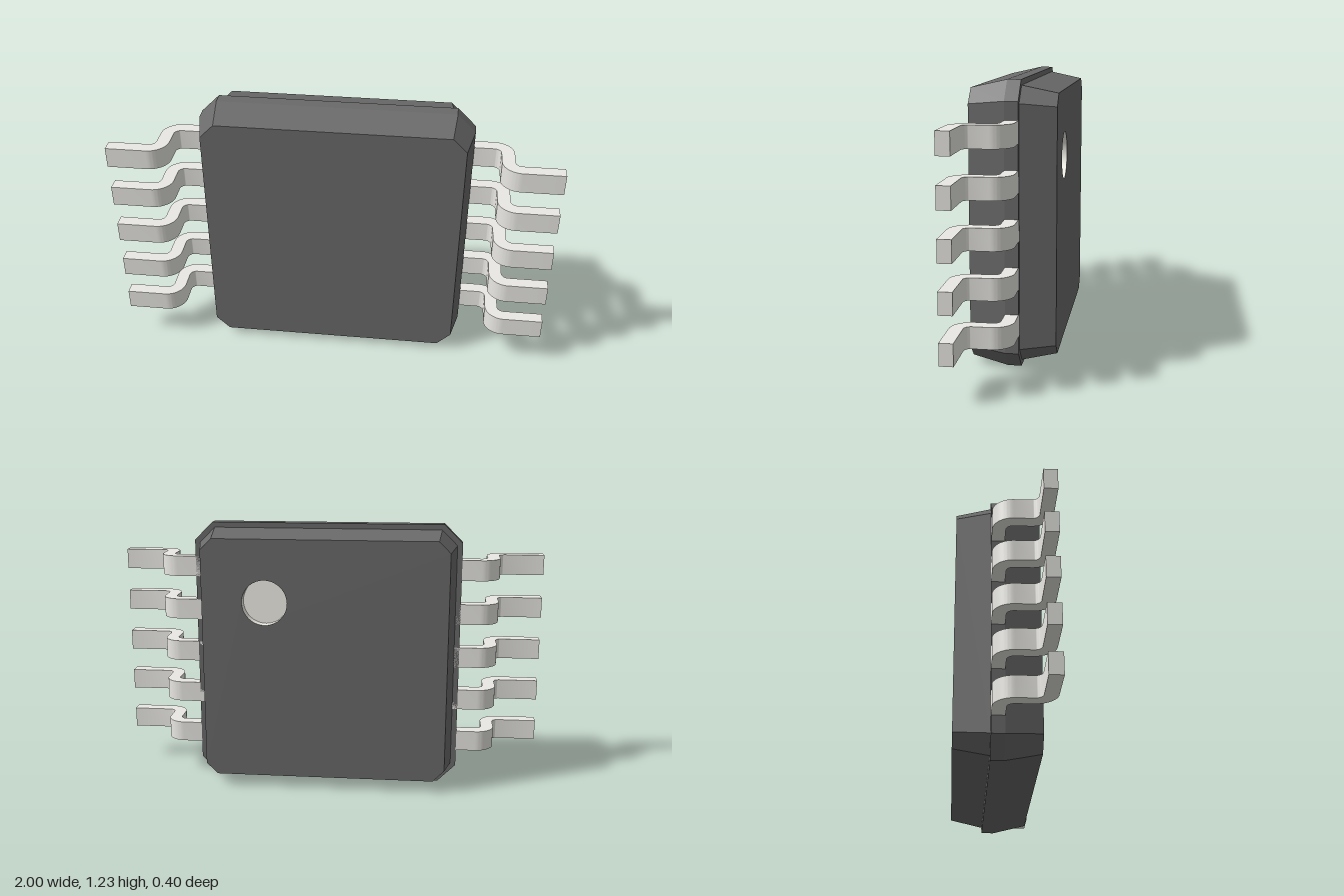
import * as THREE from 'three';
import { toCreasedNormals } from 'three/addons/utils/BufferGeometryUtils.js';

const CY = 0.614; // height of the body's centre
const bodyMat = new THREE.MeshStandardMaterial({ color: 0x6b6a6a });
const pinMat = new THREE.MeshStandardMaterial({ color: 0xeae9e4 });
const markMat = new THREE.MeshStandardMaterial({ color: 0xf3f2e9 });

// Square with chamfered corners, counter-clockwise
function octagon(h, c) {
  const k = h - c;
  return [[h, -k], [h, k], [k, h], [-k, h], [-h, k], [-h, -k], [-k, -h], [k, -h]]
    .map(([x, y]) => new THREE.Vector2(x, y));
}

// Side walls through a stack of octagons, listed back to front as [z, half width, chamfer]
function loftWalls(sections) {
  const pos = [];
  const rings = sections.map(([z, h, c]) => octagon(h, c).map(p => [p.x, p.y, z]));
  for (let i = 0; i < rings.length - 1; i++) {
    for (let j = 0; j < 8; j++) {
      const k = (j + 1) % 8;
      const a = rings[i][j], b = rings[i][k], c = rings[i + 1][k], d = rings[i + 1][j];
      pos.push(...a, ...b, ...c, ...a, ...c, ...d);
    }
  }
  const geo = new THREE.BufferGeometry();
  geo.setAttribute('position', new THREE.Float32BufferAttribute(pos, 3));
  geo.computeVertexNormals();
  return geo;
}

// Gull-wing lead profile, bent from strip; side = 1 or -1, shape y is -z
function leadShape(side) {
  const t = 0.058, ri = 0.03, ro = ri + t;
  const top = 0.05, foot = -0.2, xa = 0.702, xb = xa + 2 * ri + t;
  const s = new THREE.Shape();
  s.moveTo(0.58, top);
  s.lineTo(xa, top);
  s.absarc(xa, top - ro, ro, Math.PI / 2, 0, true);
  s.absarc(xb, foot + ro, ri, Math.PI, Math.PI * 1.5, false);
  s.lineTo(1, foot + t);
  s.lineTo(1, foot);
  s.lineTo(xb, foot);
  s.absarc(xb, foot + ro, ro, Math.PI * 1.5, Math.PI, true);
  s.absarc(xa, top - ro, ri, 0, Math.PI / 2, false);
  s.lineTo(0.58, top - t);
  return new THREE.Shape(s.getPoints(10).map(p => new THREE.Vector2(p.x * side, p.y)));
}

export function createModel() {
  const model = new THREE.Group();
  const add = (parent, name, geo, mat) => {
    const mesh = new THREE.Mesh(geo, mat);
    mesh.name = name;
    parent.add(mesh);
    return mesh;
  };

  // Moulded package: tapered halves with a small step at the parting line
  const body = new THREE.Group();
  body.name = 'body';
  body.position.y = CY;
  model.add(body);
  const zFront = 0.163, zBack = -0.202;
  add(body, 'bodyWalls', loftWalls([
    [zBack, 0.558, 0.052],
    [-0.05, 0.59, 0.07],
    [-0.05, 0.614, 0.083],
    [0.008, 0.614, 0.083],
    [zFront, 0.579, 0.063],
  ]), bodyMat);
  add(body, 'frontFace', new THREE.ShapeGeometry(new THREE.Shape(octagon(0.579, 0.063))), bodyMat)
    .position.z = zFront;

  // Back face, pierced by the round orientation mark
  const r = 0.103, depth = 0.045, mx = 0.27, my = 0.27;
  const back = new THREE.Shape(octagon(0.558, 0.052));
  back.holes.push(new THREE.Path().absarc(-mx, my, r, 0, Math.PI * 2, true));
  const backFace = add(body, 'backFace', new THREE.ShapeGeometry(back, 24), bodyMat);
  backFace.rotation.y = Math.PI;
  backFace.position.z = zBack;

  // Recessed mark: wall and floor
  const wallMat = markMat.clone();
  wallMat.side = THREE.DoubleSide;
  const wall = add(body, 'markWall',
    new THREE.CylinderGeometry(r, r, depth, 48, 1, true).rotateX(Math.PI / 2), wallMat);
  wall.position.set(mx, my, zBack + depth / 2);
  const floor = add(body, 'markFloor', new THREE.CircleGeometry(r, 48).rotateY(Math.PI), markMat);
  floor.position.set(mx, my, zBack + depth);

  // Five leads on each side
  const width = 0.094, pitch = 0.2035;
  for (const side of [1, -1]) {
    const leads = new THREE.Group();
    leads.name = side > 0 ? 'leftLeads' : 'rightLeads';
    model.add(leads);
    const geo = toCreasedNormals(
      new THREE.ExtrudeGeometry(leadShape(side), { depth: width, bevelEnabled: false })
        .translate(0, 0, -width / 2).rotateX(-Math.PI / 2), 0.6);
    for (let i = -2; i <= 2; i++) {
      add(leads, 'lead', geo, pinMat).position.y = CY + i * pitch;
    }
  }
  return model;
}
